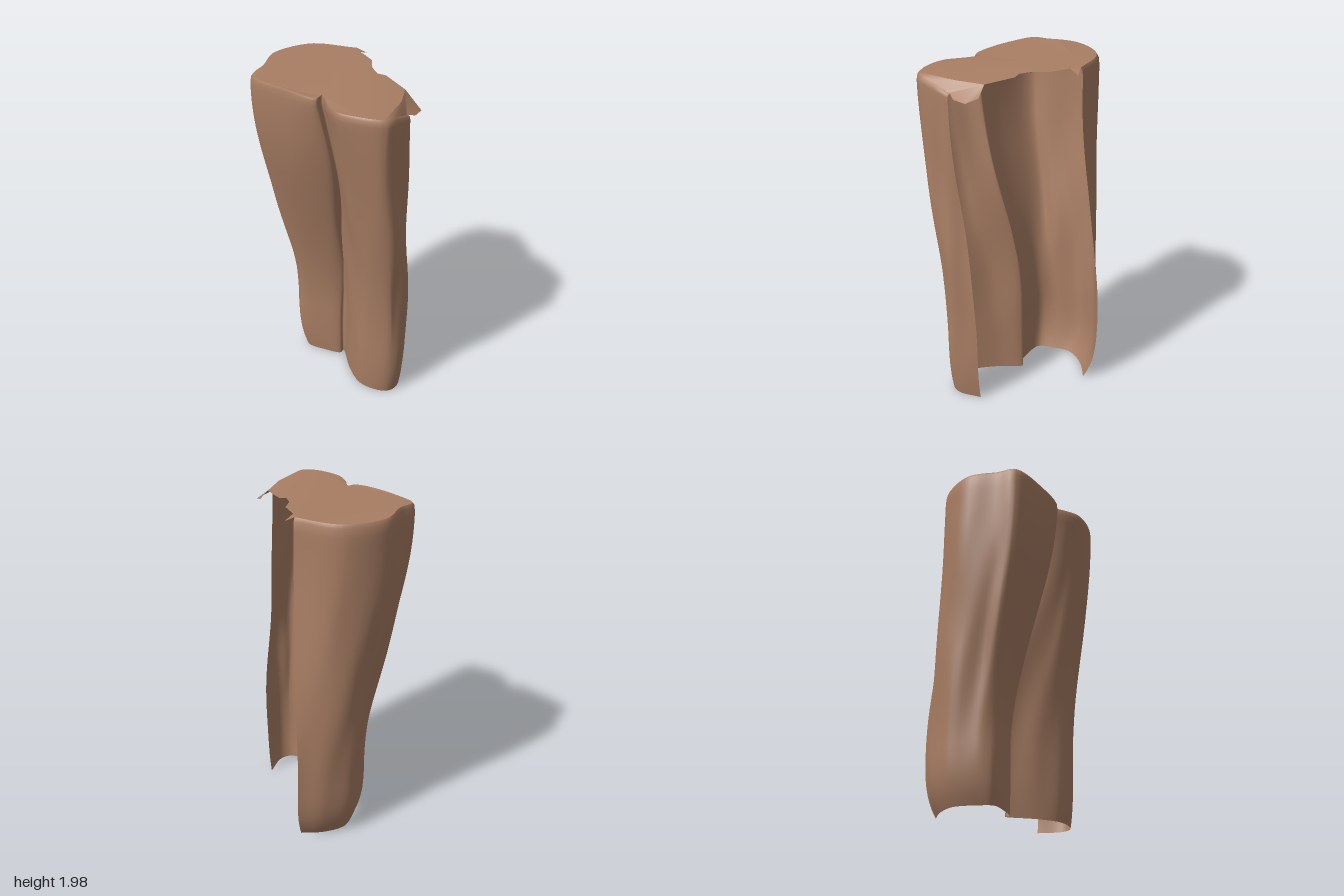
import * as THREE from 'three';

// Two outlines as [x, z], both running from the front right edge, round the
// nose, through the notch, past the left side to the back end.
const LOW = [[.415, .21], [.35, .35], [.27, .38], [.13, .28], [.09, .12], [.085, -.07], [.06, -.05],
  [-.05, -.1], [-.17, -.2], [-.15, -.3], [-.08, -.44], [.07, -.5], [.23, -.505]];
const HIGH = [[.34, .34], [.27, .42], [.17, .505], [-.04, .385], [-.08, .28], [-.09, .17], [-.13, .2],
  [-.27, .075], [-.425, -.135], [-.35, -.24], [-.255, -.41], [-.02, -.485], [.22, -.37]];
const LOW_Y = 0.38, HIGH_Y = 1.92, BASE_Y = 0.01;
const SUB = 6;            // steps between neighbouring outline points
const ROWS = 44;          // steps up the wall
const capHeight = z => 1.973 - 0.04 * z + 0.004 * Math.sin(z * 17);
const v = (x, y, z) => new THREE.Vector3(x, y, z);

// Outline point i at height y: blend of both outlines, tucked in at the foot
function outlinePoint(i, y) {
  const t = THREE.MathUtils.clamp((y - LOW_Y) / (HIGH_Y - LOW_Y), 0, 1);
  const ease = t * t * (3 - 2 * t);
  const seam = i >= 3 && i <= 6;      // the seam leans over late
  const x = THREE.MathUtils.lerp(LOW[i][0], HIGH[i][0], seam ? t * t : ease);
  const z = THREE.MathUtils.lerp(LOW[i][1], HIGH[i][1], ease);
  const foot = Math.max(0, (LOW_Y - y) / (LOW_Y - BASE_Y)) ** 3;
  const k = 1 - foot * (i > 6 ? 0.16 : 0.05);
  return v(0.12 + (x - 0.12) * k, y, -0.08 + (z + 0.08) * k);
}

// Ring up the wall; the two points by the open front edge droop at the top
function wallRing(t) {
  const points = LOW.map((_, i) => {
    const top = HIGH_Y - ([0.05, 0.025][i] ?? 0);
    return outlinePoint(i, THREE.MathUtils.lerp(BASE_Y, top, t));
  });
  const ring = new THREE.CatmullRomCurve3(points).getPoints((points.length - 1) * SUB);
  // Faint slanting furrows
  return ring.map((p, i) => {
    const d = 0.005 * Math.sin(Math.PI * t)
      * (Math.sin(i * 0.9 + p.y * 4) + Math.sin(i * 0.37 - p.y * 7));
    return v(p.x + d, p.y, p.z + d * 0.6);
  });
}

// Ring of the top bevel: b runs from 0 at the wall to 1 at the cap
function bevelRing(b) {
  return wallRing(1).map(p => {
    const k = 1 - 0.035 * b * b;
    const droop = (HIGH_Y - p.y) * 1.3;
    const y = THREE.MathUtils.lerp(p.y, capHeight(p.z) - droop, Math.sin(b * Math.PI / 2));
    return v(p.x * k, y, p.z * k);
  });
}

function toGeometry(points, index) {
  const g = new THREE.BufferGeometry().setFromPoints(points);
  g.setIndex(index);
  g.computeVertexNormals();
  return g;
}

// Open wall lofted through the rings
function loftGeometry(rings) {
  const width = rings[0].length, index = [];
  for (let r = 0; r < rings.length - 1; r++) {
    for (let i = 0; i < width - 1; i++) {
      const a = r * width + i, c = a + width;
      index.push(a, c, a + 1, a + 1, c, c + 1);
    }
  }
  return toGeometry(rings.flat(), index);
}

// Fills a loop of 3D points, triangulated as seen from above
function patchGeometry(loop) {
  const flat = loop.map(p => new THREE.Vector2(p.x, -p.z));
  if (THREE.ShapeUtils.isClockWise(flat)) {
    flat.reverse();
    loop.reverse();
  }
  return toGeometry(loop, THREE.ShapeUtils.triangulateShape(flat, []).flat());
}

export function createModel() {
  const group = new THREE.Group();
  group.name = 'rockShell';
  const rock = new THREE.MeshStandardMaterial({ color: 0xa97e64, side: THREE.DoubleSide });
  rock.name = 'brown rock';
  const add = (name, geometry) => {
    const mesh = new THREE.Mesh(geometry, rock);
    mesh.name = name;
    group.add(mesh);
  };

  // Wall, open on the right and underneath
  const rings = Array.from({ length: ROWS + 1 }, (_, r) => wallRing(r / ROWS));
  rings.push(bevelRing(0.5), bevelRing(1));
  add('rockWall', loftGeometry(rings));

  // Top, with a ragged open edge on the right
  const rim = bevelRing(1);
  const nose = 2 * SUB;
  const fold = [v(.36, 1.95, .15), v(.3, 1.955, .3)];
  add('rockTop', patchGeometry([
    ...rim.slice(nose),
    v(.265, 1.96, -.34), v(.22, 1.985, -.3), v(.26, 1.98, -.19), v(.24, 1.975, -.1),
    v(.255, 1.97, -.03), v(.295, 1.965, -.01), ...fold,
  ]));

  // Drooping lip over the front right edge
  add('rockLip', patchGeometry([
    ...rim.slice(0, nose + 1), fold[1], fold[0],
    v(.405, 1.89, .18), v(.425, 1.87, .25), v(.375, 1.875, .31),
  ]));
  return group;
}
